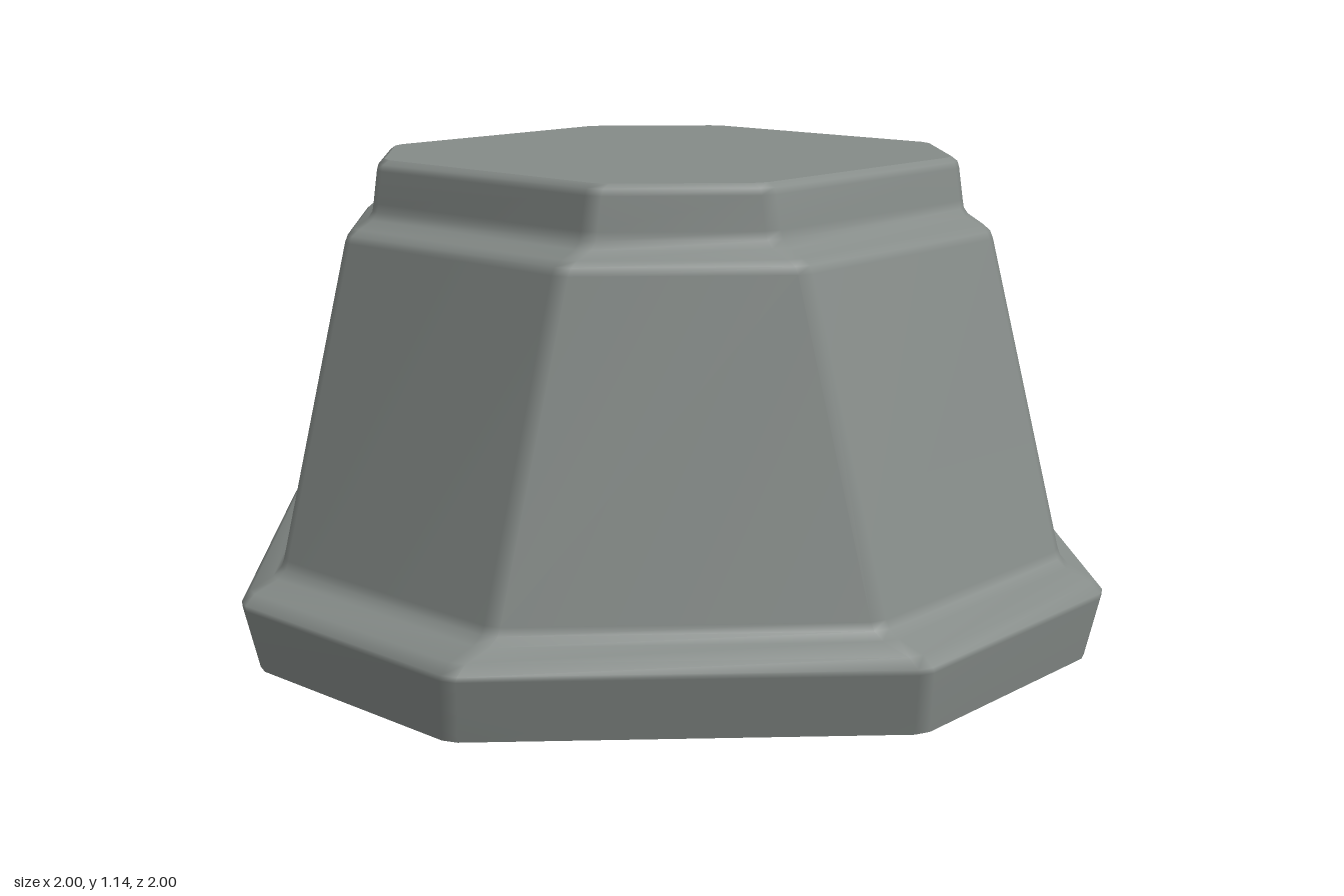
import * as THREE from 'three';

// Profile from the open bottom to the top edge: [half width, height, corner cut]
const PROFILE = [
  [0.963, 0, 0.46], [0.998, 0.145, 0.495], [1.0, 0.158, 0.5], [0.982, 0.18, 0.5], // rim
  [0.935, 0.199, 0.5], [0.918, 0.216, 0.5], [0.912, 0.235, 0.5],  // step above the rim
  [0.763, 0.955, 0.5], [0.757, 0.972, 0.5], [0.743, 0.985, 0.5],  // sloping wall, shoulder
  [0.714, 1.003, 0.5], [0.703, 1.02, 0.5], [0.70, 1.04, 0.5],
  [0.691, 1.115, 0.5], [0.687, 1.13, 0.5], [0.674, 1.14, 0.5],    // collar
];
const BEVEL = 0.02;

// Square with cut corners, each corner slightly bevelled
function ring([a, y, cut]) {
  const b = a - cut, s = BEVEL * Math.SQRT1_2;
  let quarter = [[a, b - BEVEL], [a - s, b + s], [b + s, a - s], [b - BEVEL, a]];
  const points = [];
  for (let k = 0; k < 4; k++) {
    for (const [x, z] of quarter) points.push(x, y, z);
    quarter = quarter.map(([x, z]) => [-z, x]);
  }
  return points;
}

function surface(positions, indices) {
  const g = new THREE.BufferGeometry();
  g.setAttribute('position', new THREE.Float32BufferAttribute(positions, 3));
  g.setIndex(indices);
  g.computeVertexNormals();
  return g;
}

export function createModel() {
  const model = new THREE.Group();
  model.name = 'octagonalCover';
  const grey = new THREE.MeshStandardMaterial({ color: 0x858b88, side: THREE.DoubleSide });
  grey.name = 'grey';

  const add = (name, geometry) => {
    const mesh = new THREE.Mesh(geometry, grey);
    mesh.name = name;
    model.add(mesh);
  };

  // Hollow shell: rim, sloping wall and collar
  const N = 16, positions = PROFILE.flatMap(ring), indices = [];
  for (let i = 0; i < PROFILE.length - 1; i++) {
    for (let j = 0; j < N; j++) {
      const n = (j + 1) % N, p = i * N + j, q = i * N + n;
      indices.push(p, p + N, q, q, p + N, q + N);
    }
  }
  add('shell', surface(positions, indices));

  // Flat top
  const last = PROFILE[PROFILE.length - 1];
  const topIndices = [];
  for (let j = 0; j < N; j++) topIndices.push(N, (j + 1) % N, j);
  add('topPlate', surface([...ring(last), 0, last[1], 0], topIndices));

  return model;
}
